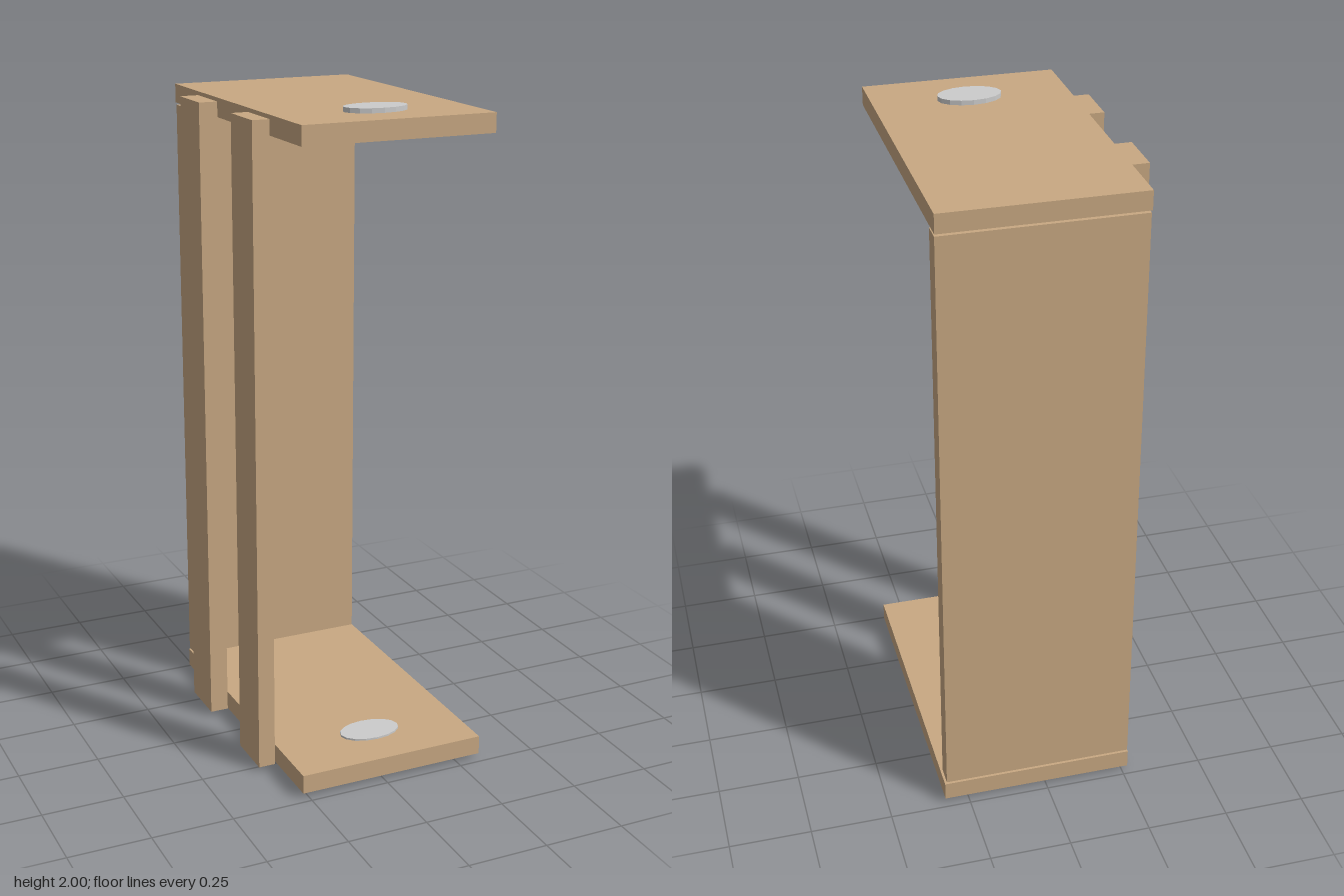
import * as THREE from 'three';

const wood = new THREE.MeshStandardMaterial({ color: 0xc8a882 });
const metal = new THREE.MeshStandardMaterial({ color: 0xcccccc, flatShading: true });

// Box given by its [min, max] range on each axis
function board(name, [x0, x1], [y0, y1], [z0, z1]) {
  const mesh = new THREE.Mesh(new THREE.BoxGeometry(x1 - x0, y1 - y0, z1 - z0), wood);
  mesh.position.set((x0 + x1) / 2, (y0 + y1) / 2, (z0 + z1) / 2);
  mesh.name = name;
  return mesh;
}

// Oval plug that passes through a plate and stands slightly proud on both sides
function plug(name, y0, y1) {
  const mesh = new THREE.Mesh(new THREE.CylinderGeometry(1, 1, y1 - y0, 16), metal);
  mesh.scale.set(0.096, 1, 0.059);
  mesh.position.set(0.033, (y0 + y1) / 2, 0.304);
  mesh.name = name;
  return mesh;
}

export function createModel() {
  const model = new THREE.Group();
  model.name = 'openFrame';

  // Horizontal plates and the back panel between them
  model.add(
    board('topPlate', [-0.268, 0.319], [1.929, 1.986], [-0.48, 0.478]),
    board('bottomPlate', [-0.268, 0.325], [0.015, 0.073], [-0.48, 0.478]),
    board('backPanel', [-0.266, 0.319], [0.079, 1.922], [-0.478, -0.419])
  );

  // Upright slats on the right side
  model.add(
    board('frontSlat', [-0.323, -0.271], [0.01, 1.975], [0.117, 0.271]),
    board('rearSlat', [-0.327, -0.27], [0.015, 1.975], [-0.277, -0.121])
  );

  // Oval plugs through both plates
  model.add(plug('topPlug', 1.923, 2), plug('bottomPlug', 0, 0.079));

  return model;
}
